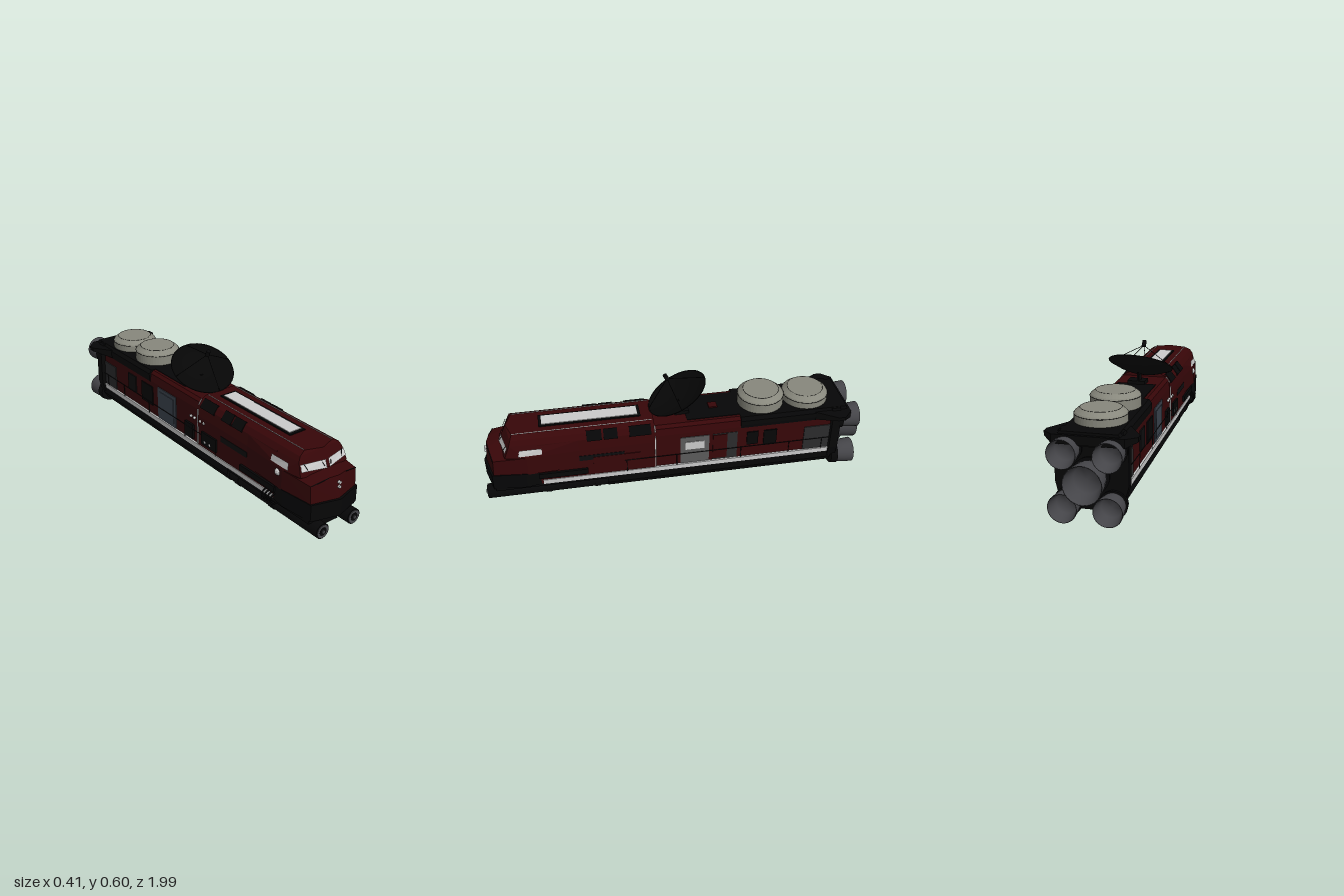
import * as THREE from 'three';
import { ConvexGeometry } from 'three/addons/geometries/ConvexGeometry.js';

const mat = (color, flat = false, side = THREE.FrontSide) =>
  new THREE.MeshStandardMaterial({ color, flatShading: flat, side });
const RED = mat(0x370608, true), BLACK = mat(0x060607, true), DARK = mat(0x0e0e0f, true);
const GREY = mat(0x5c5c5c, true), SLATE = mat(0x2c2c2d, true), LIGHT = mat(0xc4c4c4, true), BLUE = mat(0x3c444f, true);
const TANK = mat(0x88887d, true), ROUND = mat(0x070708), METAL = mat(0x454549, false, THREE.DoubleSide);
const DISH = mat(0x060606, false, THREE.DoubleSide);

export function createModel() {
  const root = new THREE.Group();
  const add = (name, geo, m, x = 0, y = 0, z = 0, parent = root) => {
    const mesh = new THREE.Mesh(geo, m);
    mesh.name = name;
    mesh.position.set(x, y, z);
    parent.add(mesh);
    return mesh;
  };
  // Box given by its extents
  const box = (name, m, x0, x1, y0, y1, z0, z1) =>
    add(name, new THREE.BoxGeometry(x1 - x0, y1 - y0, z1 - z0), m, (x0 + x1) / 2, (y0 + y1) / 2, (z0 + z1) / 2);
  // Symmetric outline from its right half, listed bottom to top
  const outline = half => new THREE.Shape([...half, ...half.map(([x, y]) => [-x, y]).reverse()].map(p => new THREE.Vector2(...p)));
  const along = (name, m, half, z0, z1) =>
    add(name, new THREE.ExtrudeGeometry(outline(half), { depth: z1 - z0, bevelEnabled: false }), m, 0, 0, z0);
  // Plan outline (x, z) raised between two heights
  const plan = (name, m, half, y0, y1) =>
    add(name, new THREE.ExtrudeGeometry(outline(half), { depth: y1 - y0, bevelEnabled: false }).rotateX(Math.PI / 2), m, 0, y1, 0);
  const hull = (name, m, half) => add(name, new ConvexGeometry(
    half.flatMap(([x, y, z]) => [new THREE.Vector3(x, y, z), new THREE.Vector3(-x, y, z)])), m);
  const rod = (name, m, a, b, r, parent = root) => add(name,
    new THREE.TubeGeometry(new THREE.LineCurve3(new THREE.Vector3(...a), new THREE.Vector3(...b)), 1, r, 6), m, 0, 0, 0, parent);
  const quad = (name, m, p) => {
    const g = new THREE.BufferGeometry();
    g.setAttribute('position', new THREE.Float32BufferAttribute(p.flat(), 3));
    g.setIndex([0, 1, 2, 0, 2, 3]);
    g.computeVertexNormals();
    return add(name, g, m);
  };

  // Main hull
  along('frontBody', RED, [[0.143, 0.115], [0.143, 0.3], [0.136, 0.36], [0.118, 0.387], [0.085, 0.403]], 0.11, 0.7);
  along('rearBody', RED, [[0.137, 0.115], [0.137, 0.33], [0.131, 0.37], [0.115, 0.385]], -0.84, 0.11);
  box('rearRoof', BLACK, -0.1, 0.1, 0.38, 0.388, -0.36, -0.06);
  box('roofBox', RED, -0.022, 0.022, 0.385, 0.395, -0.235, -0.19);

  // Cab, nose and windshield
  hull('cab', RED, [[0, 0.3, 0.895], [0.142, 0.3, 0.865], [0.157, 0.3, 0.76], [0.143, 0.3, 0.5], [0.143, 0.2, 0.5],
    [0, 0.365, 0.868], [0.131, 0.365, 0.838], [0.118, 0.387, 0.83], [0.085, 0.403, 0.82], [0, 0.403, 0.85],
    [0.136, 0.36, 0.5], [0.118, 0.387, 0.5], [0.085, 0.403, 0.5]]);
  hull('nose', RED, [[0, 0.195, 0.968], [0.138, 0.195, 0.932], [0.157, 0.195, 0.76], [0.143, 0.195, 0.5],
    [0, 0.312, 0.955], [0.05, 0.31, 0.945], [0.138, 0.287, 0.925], [0.157, 0.3, 0.76], [0.143, 0.3, 0.5], [0, 0.32, 0.89]]);
  plan('noseSkirt', BLACK, [[0.146, 0.7], [0.159, 0.77], [0.142, 0.94], [0.006, 0.978]], 0.115, 0.2);
  box('roofPanelFrame', BLACK, -0.047, 0.047, 0.4, 0.408, 0.17, 0.685);
  box('roofPanel', LIGHT, -0.036, 0.036, 0.4, 0.411, 0.185, 0.67);
  for (const s of [1, -1]) {
    const flip = p => (s > 0 ? p : [...p].reverse()).map(([x, y, z]) => [s * x, y, z]);
    quad('windshield', LIGHT, flip([[0.008, 0.32, 0.891], [0.136, 0.325, 0.862], [0.131, 0.356, 0.848], [0.008, 0.358, 0.877]]));
    for (const x of [0.03, 0.115])
      rod('wiper', BLACK, [s * x, 0.358, 0.877 - x * 0.22], [s * (x - 0.012), 0.33, 0.893 - x * 0.22], 0.0015);
    quad('cabSideWindow', LIGHT, flip([[0.157, 0.312, 0.8], [0.154, 0.312, 0.68], [0.149, 0.345, 0.68], [0.148, 0.345, 0.79]]));
    rod('noseCrease', DARK, [s * 0.137, 0.288, 0.927], [s * 0.05, 0.309, 0.946], 0.002);
    rod('roofTrim', LIGHT, [s * 0.085, 0.404, 0.12], [s * 0.085, 0.404, 0.82], 0.002);
    box('sideSeam', LIGHT, s * 0.143 - 0.003, s * 0.143 + 0.003, 0.14, 0.335, 0.107, 0.113);
    rod('roofSeam', LIGHT, [s * 0.138, 0.358, 0.11], [s * 0.118, 0.387, 0.11], 0.003);
    box('lowerStripe', LIGHT, s * 0.142 - 0.005, s * 0.142 + 0.005, 0.113, 0.138, -0.82, 0.69);
    rod('handrail', DARK, [s * 0.148, 0.208, -0.82], [s * 0.148, 0.208, 0.27], 0.002);
    for (const z of [-0.78, -0.6, -0.34, 0.0, 0.26])
      rod('railPost', DARK, [s * 0.146, 0.135, z], [s * 0.148, 0.208, z], 0.002);
  }
  for (const y of [0.257, 0.279])
    add('headlight', new THREE.CylinderGeometry(0.0075, 0.0075, 0.014, 16).rotateX(Math.PI / 2), LIGHT, 0, y, 0.962);

  // Flush panels on the sides: side, z range, y range, material, thickness
  const panels = [
    ['door', 1, -0.17, -0.02, 0.14, 0.305, GREY, 0.004], ['doorWindow', 1, -0.145, -0.045, 0.228, 0.275, LIGHT, 0.007],
    ['greyPanel', 1, -0.32, -0.19, 0.14, 0.305, SLATE, 0.002], ['redPanel', 1, -0.265, -0.19, 0.15, 0.3, RED, 0.006],
    ['ventPanel', 1, -0.53, -0.46, 0.2, 0.295, BLACK, 0.006], ['ventPanel', 1, -0.43, -0.37, 0.215, 0.295, BLACK, 0.006],
    ['rearLocker', 1, -0.82, -0.68, 0.14, 0.285, SLATE, 0.005], ['gratePanel', 1, 0.46, 0.71, 0.155, 0.185, BLACK, 0.012],
    ['hatch', 1, 0.19, 0.43, 0.19, 0.25, RED, 0.004], ['darkStrip', 1, 0.27, 0.5, 0.235, 0.265, DARK, 0.002],
    ['blueDoor', -1, -0.26, -0.09, 0.14, 0.32, BLUE, 0.004], ['doorInset', -1, -0.24, -0.11, 0.16, 0.3, BLUE, 0.007],
    ['ventPanel', -1, -0.42, -0.31, 0.19, 0.3, BLACK, 0.006], ['ventPanel', -1, -0.56, -0.48, 0.2, 0.3, DARK, 0.006],
    ['rearLocker', -1, -0.82, -0.7, 0.14, 0.28, SLATE, 0.005], ['equipmentBox', -1, 0.0, 0.07, 0.15, 0.23, BLACK, 0.012],
    ['equipmentBox', -1, 0.15, 0.27, 0.16, 0.23, BLACK, 0.01], ['gratePanel', -1, 0.46, 0.71, 0.155, 0.185, BLACK, 0.012],
    ['darkStrip', -1, 0.3, 0.5, 0.235, 0.265, DARK, 0.002],
  ];
  for (const [name, s, z0, z1, y0, y1, m, t] of panels) {
    const face = (z0 > 0.1 ? 0.143 : 0.137) + t;
    box(name, m, s > 0 ? 0.12 : -face, s > 0 ? face : -0.12, y0, y1, z0, z1);
  }
  // Intake boxes along the roof shoulders
  for (const s of [1, -1]) for (const [z0, z1] of [[0.3, 0.37], [0.38, 0.455], [0.13, 0.24]]) {
    const intake = add('roofIntake', new THREE.BoxGeometry(0.055, 0.02, z1 - z0), BLACK, s * 0.121, 0.37, (z0 + z1) / 2);
    intake.rotation.z = -s * 0.9;
  }
  // Lamps and pipe loops of the -x side
  for (const [z, y, r] of [[0.05, 0.275, 0.008], [0.08, 0.275, 0.008], [0.13, 0.275, 0.008], [0.16, 0.275, 0.008],
    [0.18, 0.18, 0.013], [0.22, 0.18, 0.013], [0.73, 0.275, 0.018]])
    add('sideLamp', new THREE.SphereGeometry(r, 12, 8), LIGHT, z > 0.7 ? -0.15 : -0.143, y, z);
  for (let i = 0; i < 4; i++)
    add('pipeLoop', new THREE.TorusGeometry(0.027, 0.004, 8, 20), ROUND, -0.147, 0.12, 0.65 + i * 0.02);

  // Underside: floor, belly, front spine and long tubes
  box('floor', BLACK, -0.143, 0.143, 0.098, 0.118, -0.84, 0.93);
  along('belly', BLACK, [[0.06, 0.03], [0.125, 0.038], [0.148, 0.075], [0.146, 0.116]], -0.84, 0.36);
  along('frontSpine', BLACK, [[0.075, 0.03], [0.07, 0.04], [0.035, 0.105]], 0.36, 0.9);
  along('keel', BLACK, [[0.06, 0.017], [0.085, 0.035]], -0.3, 0.36);
  for (const s of [1, -1]) {
    const tube = (name, r, z0, z1, m) => add(name,
      new THREE.CylinderGeometry(r, r, z1 - z0, 28).rotateX(Math.PI / 2), m, s * 0.097, 0.068, (z0 + z1) / 2);
    tube('lowerTube', 0.038, -0.84, 0.975, ROUND);
    tube('tubeRing', 0.032, 0.96, 0.978, METAL);
    tube('tubeHollow', 0.02, 0.96, 0.98, ROUND);
    tube('tubeCore', 0.009, 0.96, 0.985, METAL);
    for (let z = 0.4; z < 0.9; z += 0.25) tube('tubeBand', 0.041, z, z + 0.03, ROUND);
  }
  box('crossBeam', RED, -0.075, 0.075, 0.02, 0.032, -0.37, -0.345);

  // Tank deck, rear wing and engine block
  along('tankDeck', BLACK, [[0.138, 0.325], [0.143, 0.345], [0.143, 0.37], [0.128, 0.388]], -0.9, -0.335);
  hull('rearWing', BLACK, [[0.16, 0.335, -0.915], [0.207, 0.353, -0.87], [0.207, 0.353, -0.835], [0.14, 0.33, -0.73],
    [0.16, 0.376, -0.915], [0.207, 0.374, -0.87], [0.207, 0.374, -0.835], [0.14, 0.376, -0.73]]);
  along('engineBlock', BLACK, [[0.1, 0.03], [0.15, 0.09], [0.165, 0.15], [0.165, 0.345], [0.14, 0.387]], -0.865, -0.82);
  for (const [z, h] of [[-0.468, 0.078], [-0.708, 0.062]]) {
    const p = [[0, 0], [0.12, 0], [0.12, h - 0.026], [0.115, h - 0.018], [0.094, h - 0.001], [0.09, h], [0, h]];
    add('storageTank', new THREE.LatheGeometry(p.map(q => new THREE.Vector2(...q)), 48), TANK, 0, 0.387, z);
    for (const [r, y] of [[0.092, h - 0.001], [0.12, h - 0.026]])
      add('tankRim', new THREE.TorusGeometry(r, 0.0012, 6, 48).rotateX(Math.PI / 2), ROUND, 0, 0.387 + y, z);
  }

  // Engine bells, opening toward the back, each on a black housing
  const bell = (x, y, r, z0, z1) => {
    const d = z0 - z1;
    const p = [[0, 0.35 * d], [0.72 * r, 0.35 * d], [0.95 * r, d], [r, d], [0.95 * r, 0.55 * d], [0.88 * r, 0.2 * d], [0.8 * r, 0]];
    add('engineBell', new THREE.LatheGeometry(p.map(q => new THREE.Vector2(...q)), 28).rotateX(-Math.PI / 2), METAL, x, y, z0);
    add('engineHousing', new THREE.CylinderGeometry(0.97 * r, 0.9 * r, 0.035, 28).rotateX(-Math.PI / 2), ROUND, x, y, -0.865);
  };
  for (const x of [-0.1, 0.1]) for (const y of [0.067, 0.308]) bell(x, y, 0.066, -0.87, -0.97);
  bell(0, 0.19, 0.088, -0.88, -1);

  // Dish antenna
  const dish = new THREE.Group();
  dish.name = 'dishAntenna';
  dish.position.set(-0.01, 0.441, -0.048);
  dish.rotation.set(0.494, 0, 0.05);
  root.add(dish);
  const R = 0.165, depth = 0.046, focus = 0.158;
  const bowl = Array.from({ length: 11 }, (_, i) => new THREE.Vector2(R * i / 10, depth * (i / 10) ** 2));
  add('dishBowl', new THREE.LatheGeometry(bowl, 48), DISH, 0, 0, 0, dish);
  add('dishRim', new THREE.TorusGeometry(R, 0.002, 6, 48).rotateX(Math.PI / 2), ROUND, 0, depth, 0, dish);
  add('dishFeed', new THREE.CylinderGeometry(0.011, 0.011, 0.032, 16), ROUND, 0, focus, 0, dish);
  for (let i = 0; i < 4; i++) {
    const a = i * Math.PI / 2;
    rod('feedStrut', ROUND, [R * Math.cos(a), depth, R * Math.sin(a)], [0, focus - 0.01, 0], 0.0017, dish);
  }
  box('dishBase', BLACK, -0.045, 0.045, 0.385, 0.405, -0.08, -0.005);
  rod('dishMast', ROUND, [-0.01, 0.395, -0.04], [-0.01, 0.438, -0.045], 0.011);
  rod('dishBrace', ROUND, [-0.01, 0.405, -0.08], [-0.01, 0.45, -0.075], 0.005);
  return root;
}
